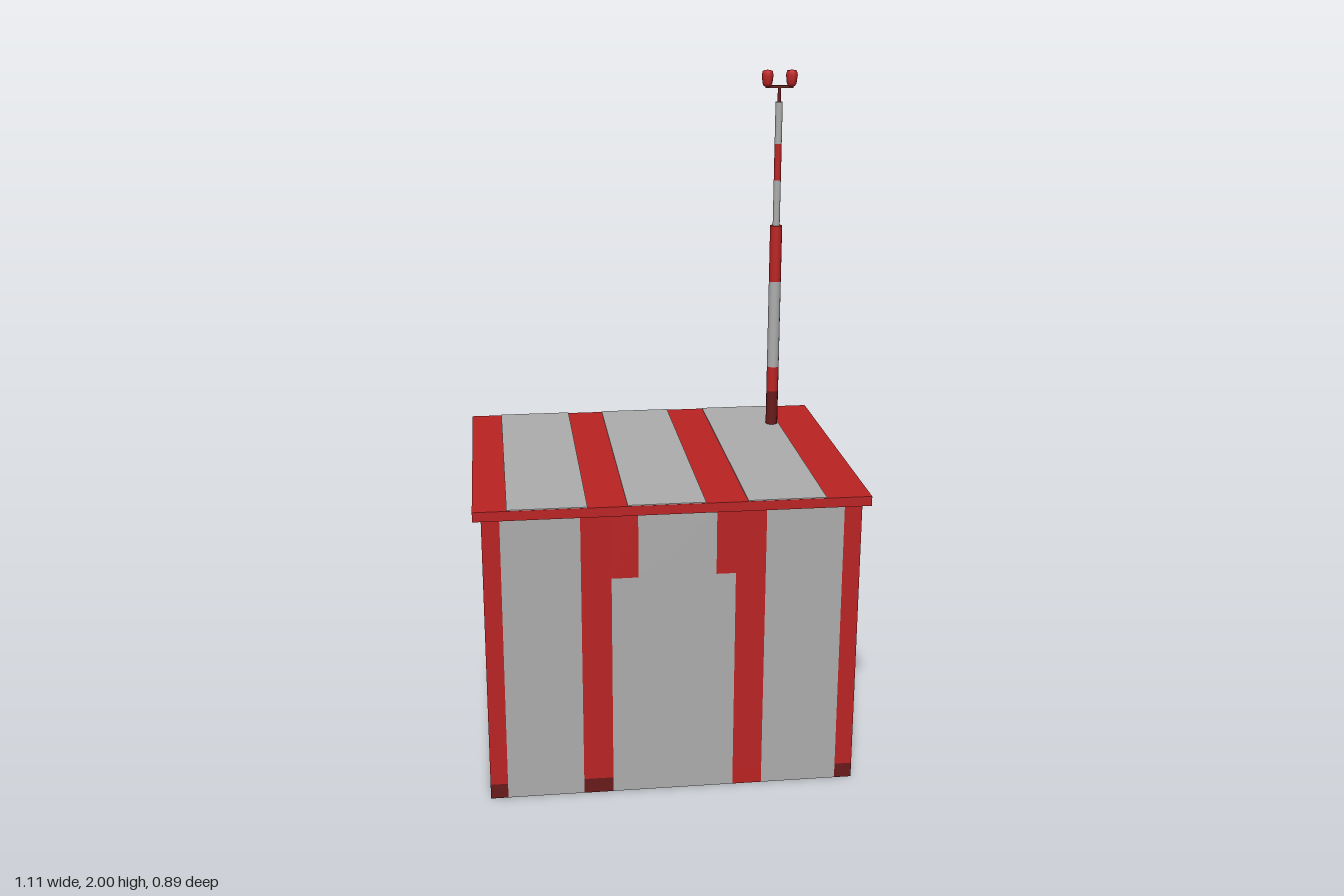
import * as THREE from 'three';

const mat = (name, color, side = THREE.FrontSide) => {
  const m = new THREE.MeshStandardMaterial({ color, side });
  m.name = name;
  return m;
};

export function createModel() {
  const model = new THREE.Group();
  model.name = 'stripedHut';
  const red = mat('red', 0xbc2323, THREE.DoubleSide);
  const grey = mat('grey', 0xaeaeae, THREE.DoubleSide);
  const darkRed = mat('darkRed', 0x6a1a1a, THREE.DoubleSide);

  const add = (parent, name, geo, material, x = 0, y = 0, z = 0) => {
    const mesh = new THREE.Mesh(geo, material);
    mesh.name = name;
    mesh.position.set(x, y, z);
    parent.add(mesh);
    return mesh;
  };

  const W = 0.53, D = 0.43, H = 0.86;

  // A flat panel from (u0, y0) to (u1, y1) in its wall's own plane
  const panel = (wall, name, u0, u1, y0, y1, material) =>
    add(wall, name, new THREE.PlaneGeometry(u1 - u0, y1 - y0), material, (u0 + u1) / 2, (y0 + y1) / 2, 0);

  // Wall of alternating red and grey stripes; edges run from one end to the other
  const makeWall = (name, edges, x, z, turn) => {
    const wall = new THREE.Group();
    wall.name = name;
    for (let i = 0; i < edges.length - 1; i++) {
      panel(wall, i % 2 ? 'greyStripe' : 'redStripe', edges[i], edges[i + 1], 0, H, i % 2 ? grey : red);
    }
    wall.position.set(x, 0, z);
    wall.rotation.y = turn;
    model.add(wall);
  };
  makeWall('backWall', [-W, -0.48, -0.265, -0.11, 0.105, 0.26, 0.475, W], 0, -D, Math.PI);
  makeWall('leftWall', [-D, -0.285, -0.065, 0.09, 0.305, D], W, 0, Math.PI / 2);
  makeWall('rightWall', [-D, -0.33, -0.1, 0.09, 0.32, D], -W, 0, -Math.PI / 2);

  // Front wall with the grey door and the panel above it
  const front = new THREE.Group();
  front.name = 'frontWall';
  front.position.z = D;
  model.add(front);
  const doorTop = 0.67, foot = 0.045;
  for (const [a, b] of [[-W, -0.48], [-0.26, -0.175], [0.175, 0.26], [0.48, W]]) {
    panel(front, 'redStripe', a, b, foot, H, red);
    panel(front, 'stripeFoot', a, b, 0, foot, a === 0.175 ? red : darkRed);
  }
  panel(front, 'greyStripe', -0.48, -0.26, 0, H, grey);
  panel(front, 'greyStripe', 0.26, 0.48, 0, H, grey);
  panel(front, 'door', -0.175, 0.175, 0, doorTop, grey);
  panel(front, 'doorLintelLeft', 0.12, 0.175, doorTop, H, red);
  panel(front, 'doorLintelRight', -0.175, -0.1, doorTop, H, red);
  panel(front, 'doorTransom', -0.1, 0.12, doorTop, H, grey);

  // Overhanging roof slab with painted stripes
  const roofTop = 0.888;
  add(model, 'roof', new THREE.BoxGeometry(1.106, roofTop - H, 0.89),
    [red, red, red, darkRed, red, red], 0, (roofTop + H) / 2, 0);
  for (const [a, b] of [[-0.46, -0.24], [-0.13, 0.087], [0.205, 0.425]]) {
    add(model, 'roofStripe', new THREE.BoxGeometry(b - a, 0.003, 0.888), grey, (a + b) / 2, roofTop + 0.001, 0);
  }

  // Mast of stacked bands: radius, bottom, top, material
  const mast = new THREE.Group();
  mast.name = 'mast';
  mast.position.set(0.403, 0, -0.255);
  model.add(mast);
  const bands = [
    [0.019, 0.885, 1.0, darkRed],
    [0.019, 1.0, 1.08, red],
    [0.019, 1.08, 1.355, grey],
    [0.019, 1.355, 1.53, red],
    [0.011, 1.53, 1.67, grey],
    [0.011, 1.67, 1.78, red],
    [0.011, 1.78, 1.905, grey],
    [0.005, 1.905, 1.953, darkRed],
  ];
  for (const [r, y0, y1, material] of bands) {
    add(mast, 'mastBand', new THREE.CylinderGeometry(r, r, y1 - y0, 12), material, 0, (y0 + y1) / 2, 0);
  }

  // Crossbar carrying two warning lamps
  add(mast, 'crossbar', new THREE.BoxGeometry(0.084, 0.008, 0.008), darkRed, 0, 1.95, 0);
  const lampProfile = [[0, 1.948], [0.011, 1.952], [0.015, 1.96], [0.018, 1.984], [0.015, 1.997], [0, 2]]
    .map(([r, y]) => new THREE.Vector2(r, y));
  for (const side of [-1, 1]) {
    add(mast, 'lamp', new THREE.LatheGeometry(lampProfile, 12), red, side * 0.037, 0, 0);
  }

  return model;
}
